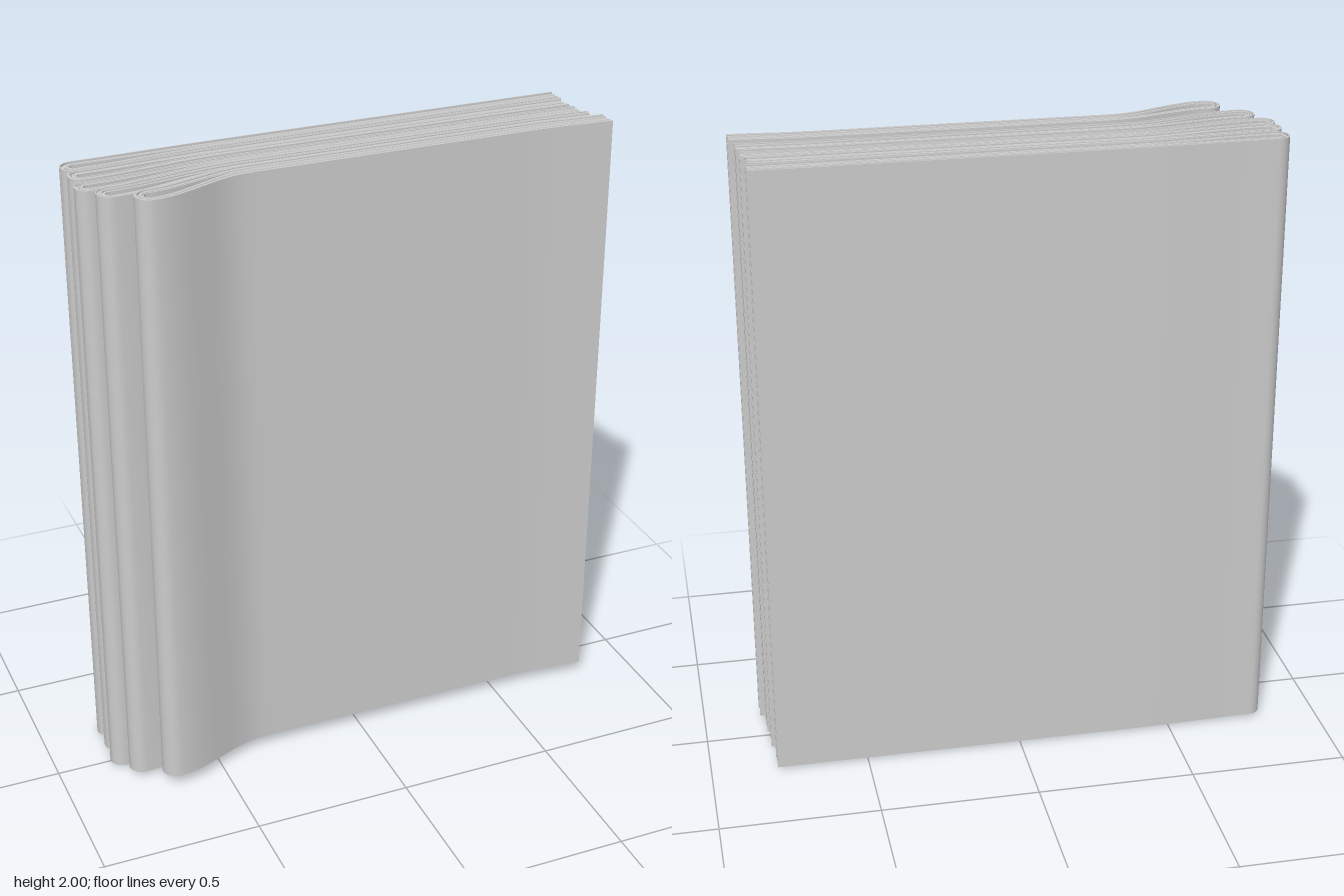
import * as THREE from 'three';
import { toCreasedNormals } from 'three/addons/utils/BufferGeometryUtils.js';

const LEAVES = 6;          // nested sheets in each folded section
const FLAT_HALF = 0.0325;  // half thickness of a section where it lies flat

// One entry per folded section, from back to front
const SECTIONS = [
  { fold: -0.82, foldZ: -0.160, r: 0.041, right: 0.790, bottom: 0.012, top: 1.988 },
  { fold: -0.82, foldZ: -0.080, r: 0.040, right: 0.783, bottom: 0.010, top: 1.990 },
  { fold: -0.825, foldZ: 0.000, r: 0.040, right: 0.797, bottom: 0.004, top: 1.985 },
  { fold: -0.785, foldZ: 0.080, r: 0.042, right: 0.803, bottom: 0.022, top: 1.990 },
  { fold: -0.70, foldZ: 0.164, r: 0.045, right: 0.820, bottom: 0.040, top: 2.000 },
];

function createRandom(seed) {
  return () => {
    seed = (seed * 16807) % 2147483647;
    return seed / 2147483647;
  };
}

// Line of a folded sheet seen from above, lying `depth` sheets inside the section
function foldLine(section, index, depth, right) {
  const { fold, foldZ, r } = section;
  const flatZ = -0.21 + FLAT_HALF * (2 * index + 1);
  const centre = fold + r;
  const steps = 28;
  const side = (sign) => {
    const points = [];
    for (let i = 0; i <= steps; i++) {
      const x = centre + (right - centre) * Math.pow(i / steps, 1.6);
      const bend = THREE.MathUtils.smoothstep(x, centre, -0.34);
      const pitch = THREE.MathUtils.lerp(0.0047, 0.0054, bend);
      const half = THREE.MathUtils.lerp(r, FLAT_HALF, bend) - depth * pitch;
      const flare = 0.004 * index * THREE.MathUtils.smoothstep(x, 0.6, 0.82);
      const z = THREE.MathUtils.lerp(foldZ, flatZ, bend) + flare + sign * half;
      points.push(new THREE.Vector2(x, -z));
    }
    return points;
  };
  // Rounded spine joining the two sides
  const radius = r - depth * 0.0047;
  const spine = [];
  for (let i = 1; i < 14; i++) {
    const a = Math.PI / 2 + (Math.PI * i) / 14;
    spine.push(new THREE.Vector2(centre + Math.cos(a) * radius, -foldZ + Math.sin(a) * radius));
  }
  return [...side(-1).reverse(), ...spine, ...side(1)];
}

// A sheet with thickness, standing upright
function createLeaf(section, index, k, right, bottom, top) {
  const outer = foldLine(section, index, k, right);
  const inner = foldLine(section, index, k + 0.93, right).reverse();
  const geometry = new THREE.ExtrudeGeometry(new THREE.Shape([...outer, ...inner]), {
    depth: top - bottom, bevelEnabled: false, steps: 1,
  });
  geometry.rotateX(-Math.PI / 2);
  geometry.translate(0, bottom, 0);
  return toCreasedNormals(geometry, 0.6);
}

export function createModel() {
  const model = new THREE.Group();
  model.name = 'foldedSections';
  const paper = new THREE.MeshStandardMaterial({ color: 0xcccccc });
  paper.name = 'paper grey';
  const random = createRandom(41);

  SECTIONS.forEach((section, index) => {
    const group = new THREE.Group();
    group.name = `foldedSection${index + 1}`;
    for (let k = 0; k < LEAVES; k++) {
      // Inner sheets are trimmed slightly unevenly
      const trim = k === 0 ? 0 : 0.006;
      const leaf = new THREE.Mesh(
        createLeaf(section, index, k,
          section.right - trim * random(),
          section.bottom + trim * random(),
          section.top - trim * random()),
        paper,
      );
      leaf.name = k === 0 ? 'outerSheet' : `innerSheet${k}`;
      group.add(leaf);
    }
    model.add(group);
  });
  return model;
}
